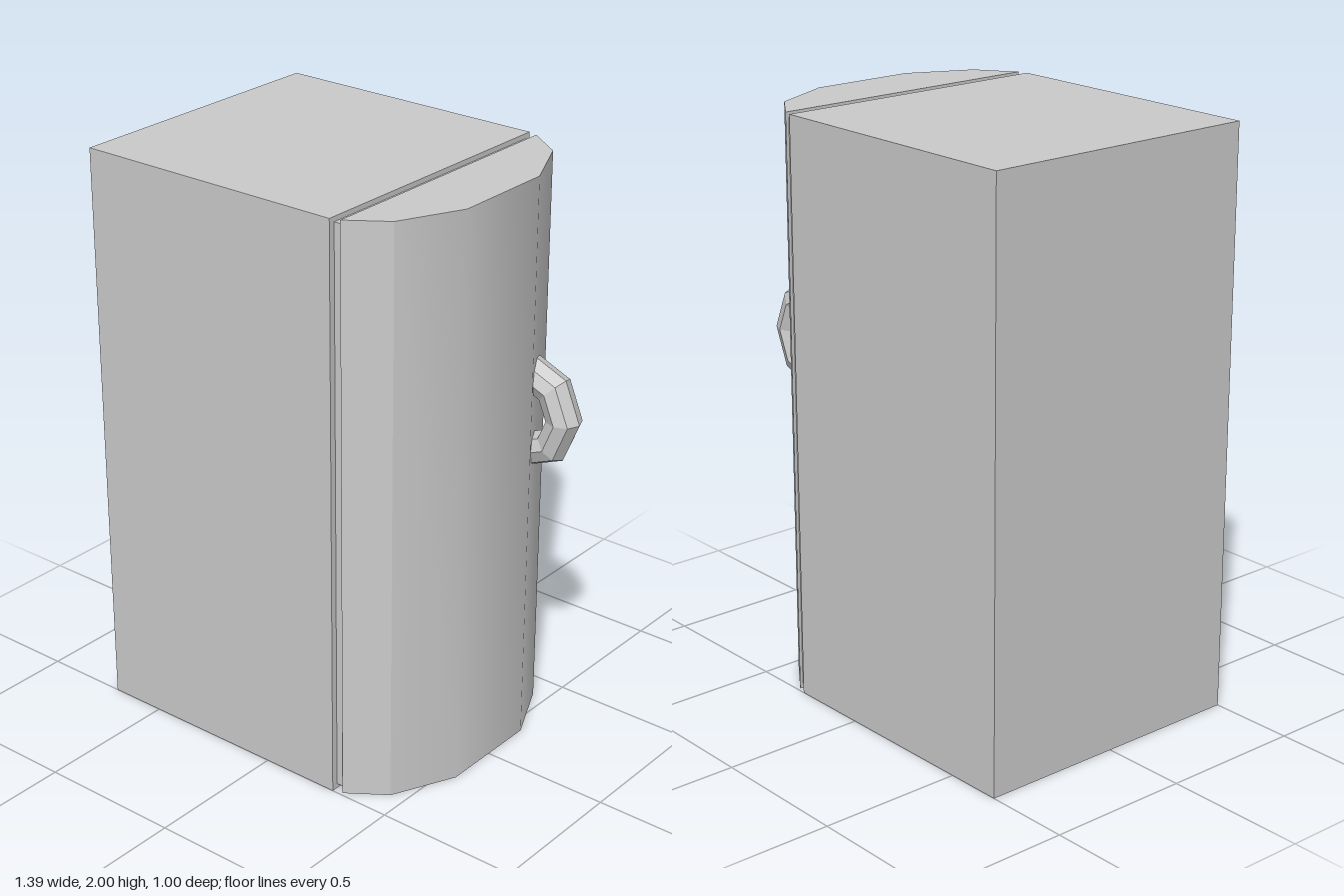
import * as THREE from 'three';
import { toCreasedNormals } from 'three/addons/utils/BufferGeometryUtils.js';

export function createModel() {
  const group = new THREE.Group();
  group.name = 'refrigerator';
  const smooth = new THREE.MeshStandardMaterial({ color: 0xcccccc });
  const flat = new THREE.MeshStandardMaterial({ color: 0xcccccc, flatShading: true });

  const add = (name, geometry, material, x, y, z) => {
    const mesh = new THREE.Mesh(geometry, material);
    mesh.name = name;
    mesh.position.set(x, y, z);
    group.add(mesh);
  };

  // Cabinet body
  add('cabinet', new THREE.BoxGeometry(0.983, 2, 1), flat, -0.2085, 1, 0);

  // Recessed seal between cabinet and door
  add('doorSeal', new THREE.BoxGeometry(0.036, 1.966, 0.956), flat, 0.299, 1, 0);

  // Bowed door: half profile mirrored across its depth, extruded upwards
  const half = [[0.316, 0.49], [0.445, 0.4], [0.548, 0.183]];
  const profile = [
    ...half.map(([x, z]) => new THREE.Vector2(x, -z)),
    ...half.map(([x, z]) => new THREE.Vector2(x, z)).reverse(),
  ];
  const door = new THREE.ExtrudeGeometry(new THREE.Shape(profile), { depth: 2, bevelEnabled: false });
  door.rotateX(-Math.PI / 2);
  // Gentle bends blend, the outer bevels stay sharp
  add('door', toCreasedNormals(door, THREE.MathUtils.degToRad(27.5)), smooth, 0, 0, 0);

  // Ring handle, half sunk into the door
  add('handle', new THREE.TorusGeometry(0.14, 0.06, 8, 8), flat, 0.49, 1.172, -0.248);

  return group;
}
